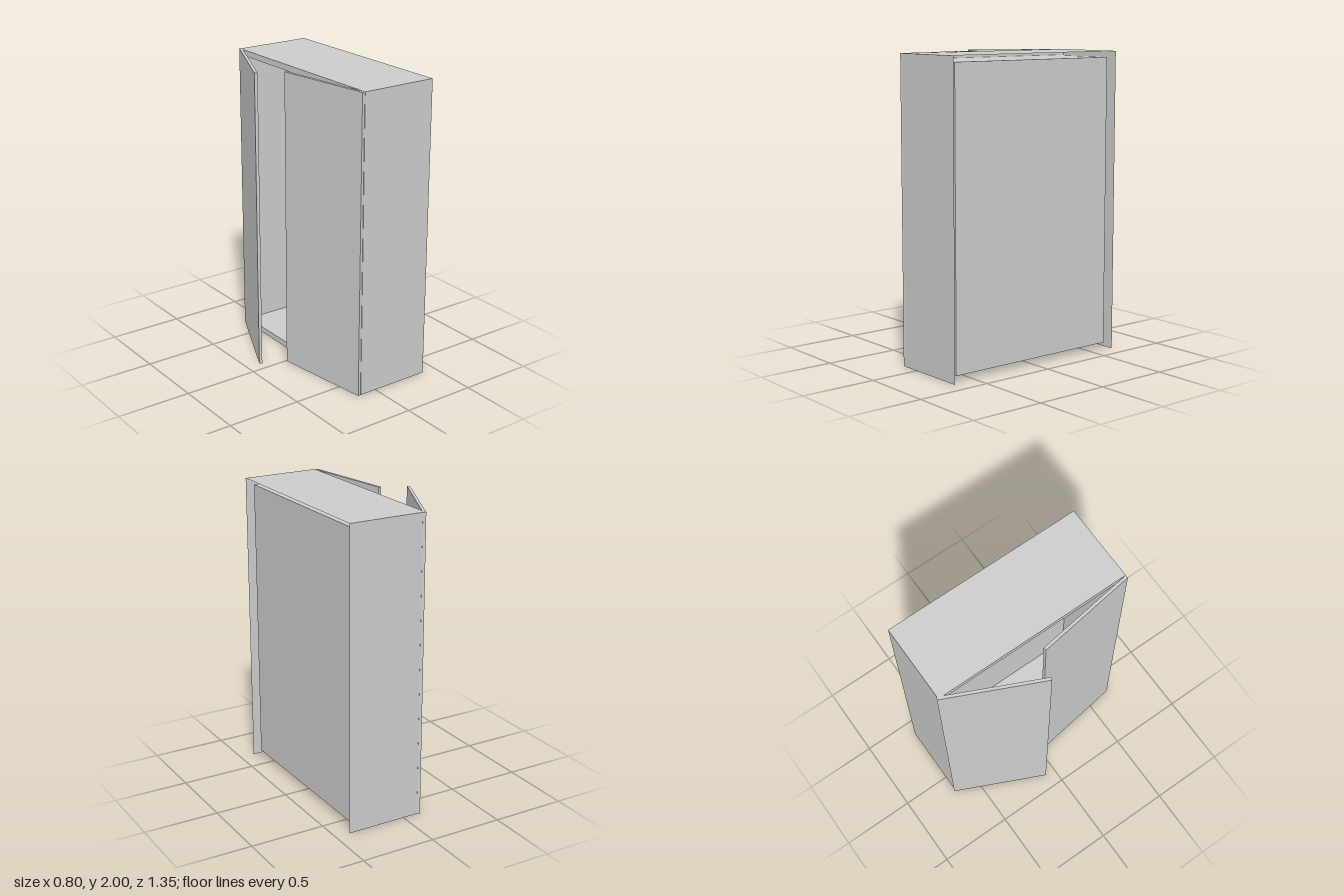
import * as THREE from 'three';

const material = new THREE.MeshStandardMaterial({
  color: 0xcccccc, flatShading: true, side: THREE.DoubleSide,
});

const HEIGHT = 2, WIDTH = 1.336, DEPTH = 0.52, WALL = 0.04;
const FRONT_X = -0.12;

// Box with some faces left out (0 +x, 1 -x, 2 +y, 3 -y, 4 +z, 5 -z)
function openBox(w, h, d, omit) {
  const geometry = new THREE.BoxGeometry(w, h, d);
  const index = Array.from(geometry.index.array);
  geometry.setIndex(index.filter((_, i) => !omit.includes(Math.floor(i / 6))));
  geometry.clearGroups();
  return geometry;
}

function addPart(parent, name, geometry, x, y, z, turn = 0) {
  const mesh = new THREE.Mesh(geometry, material);
  mesh.name = name;
  mesh.position.set(x, y, z);
  mesh.rotation.y = turn;
  parent.add(mesh);
  return mesh;
}

function rectangle(PathType, w, h) {
  return new PathType([
    new THREE.Vector2(-w / 2, -h / 2), new THREE.Vector2(w / 2, -h / 2),
    new THREE.Vector2(w / 2, h / 2), new THREE.Vector2(-w / 2, h / 2),
  ]);
}

export function createModel() {
  const model = new THREE.Group();
  model.name = 'wardrobe';
  const midY = HEIGHT / 2;

  // Outer sides and top, open at the back and underneath
  addPart(model, 'outerCase', openBox(DEPTH, HEIGHT, WIDTH, [0, 1, 3]),
    FRONT_X + DEPTH / 2, midY, 0);

  // Inner compartment, open towards the doors
  addPart(model, 'innerCompartment',
    openBox(DEPTH - WALL, HEIGHT - 2 * WALL, WIDTH - 2 * WALL, [1]),
    FRONT_X + (DEPTH - WALL) / 2, midY, 0);

  // Flat rim joining the case and the compartment around the opening
  const rim = rectangle(THREE.Shape, WIDTH, HEIGHT);
  rim.holes.push(rectangle(THREE.Path, WIDTH - 2 * WALL, HEIGHT - 2 * WALL));
  addPart(model, 'openingRim', new THREE.ShapeGeometry(rim), FRONT_X, midY, 0, -Math.PI / 2);

  // Two doors standing ajar, hollow underneath
  const door = openBox(0.02, HEIGHT, WIDTH / 2, [3]);
  addPart(model, 'narrowlyOpenDoor', door, -0.177, midY, 0.336, THREE.MathUtils.degToRad(8));
  addPart(model, 'widelyOpenDoor', door, -0.253, midY, -0.371, THREE.MathUtils.degToRad(-25));

  return model;
}
